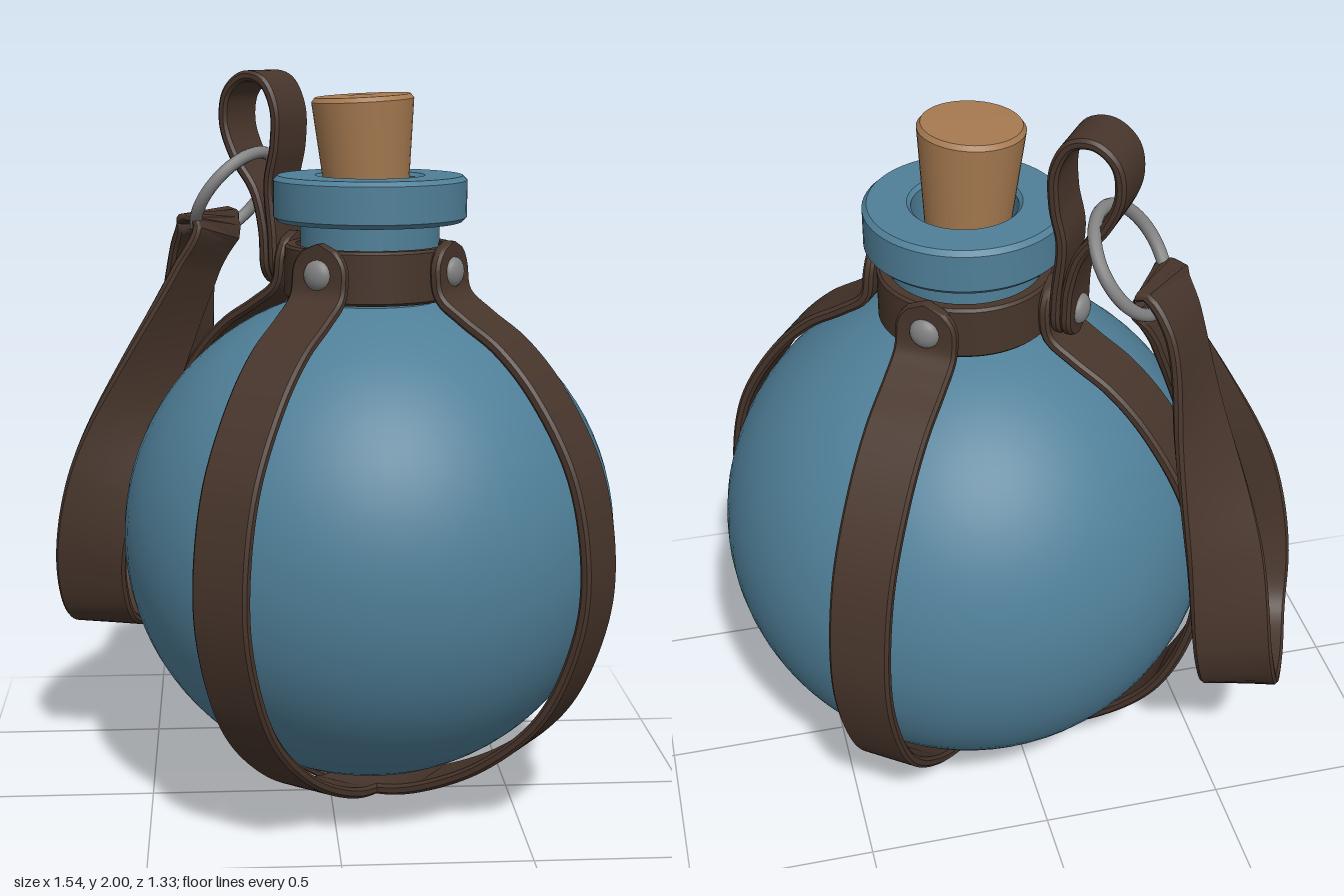
import * as THREE from 'three';
import { toCreasedNormals } from 'three/addons/utils/BufferGeometryUtils.js';

const material = (name, color) => {
  const m = new THREE.MeshStandardMaterial({ color });
  m.name = name;
  return m;
};

// Strap with chamfered edges along a curve; widthDir(p) gives the direction of its breadth
function ribbon(points, width, thick, widthDir, { closed = false, roundStart = false, roundEnd = false, steps = 120 } = {}) {
  const curve = new THREE.CatmullRomCurve3(points, closed, 'centripetal');
  const length = curve.getLength(), c = 0.008;
  const pos = [], idx = [];
  const taper = d => (d < width / 2 ? Math.max(0.05, Math.sqrt(1 - (1 - d / (width / 2)) ** 2)) : 1);
  for (let i = 0; i <= steps; i++) {
    const u = i / steps, p = curve.getPointAt(u), t = curve.getTangentAt(u);
    const w = widthDir(p);
    w.addScaledVector(t, -w.dot(t)).normalize();
    const n = new THREE.Vector3().crossVectors(t, w);
    let k = 1;
    if (roundStart) k *= taper(u * length);
    if (roundEnd) k *= taper((1 - u) * length);
    const a = width / 2 * k, b = thick / 2, e = Math.min(c, a * 0.5);
    const section = [[a, b - e], [a - e, b], [e - a, b], [-a, b - e], [-a, e - b], [e - a, -b], [a - e, -b], [a, e - b]];
    for (const [x, y] of section) pos.push(...p.clone().addScaledVector(w, x).addScaledVector(n, y).toArray());
  }
  for (let i = 0; i < steps; i++) for (let j = 0; j < 8; j++) {
    const q = i * 8 + j, r = i * 8 + (j + 1) % 8;
    idx.push(q, r, r + 8, q, r + 8, q + 8);
  }
  if (!closed) for (let j = 1; j < 7; j++) {
    const s = steps * 8;
    idx.push(0, j + 1, j, s, s + j, s + j + 1);
  }
  const g = new THREE.BufferGeometry();
  g.setAttribute('position', new THREE.Float32BufferAttribute(pos, 3));
  g.setIndex(idx);
  return toCreasedNormals(g, 0.6);
}

const lathe = (profile, segments = 64) =>
  toCreasedNormals(new THREE.LatheGeometry(profile.map(([r, y]) => new THREE.Vector2(r, y)), segments), 0.7);

export function createModel() {
  const glass = material('blue glaze', 0x4f7f98);
  const leather = material('brown leather', 0x47352b);
  const corkMat = material('cork', 0xa67a50);
  const metal = material('grey metal', 0x828282);

  const model = new THREE.Group();
  model.name = 'strappedFlask';
  const flask = new THREE.Group();
  flask.name = 'flask';
  flask.position.x = 0.105;
  model.add(flask);
  const add = (parent, name, geometry, mat) => {
    const m = new THREE.Mesh(geometry, mat);
    m.name = name;
    parent.add(m);
    return m;
  };

  // Round body, neck, lip and mouth in one turned profile
  const profile = [];
  const endAngle = Math.PI - Math.asin(0.185 / 0.667);
  for (let i = 0; i <= 40; i++) {
    const a = endAngle * i / 40;
    profile.push([0.667 * Math.sin(a), 0.76 - 0.667 * Math.cos(a)]);
  }
  profile.push([0.185, 1.61], [0.245, 1.61], [0.257, 1.622], [0.257, 1.718], [0.245, 1.73],
    [0.145, 1.73], [0.135, 1.72], [0.135, 1.55], [0, 1.55]);
  add(flask, 'bottle', lathe(profile), glass);

  // Slightly tilted stopper
  const cork = add(flask, 'cork', lathe([[0, -0.19], [0.098, -0.19], [0.135, 0.175], [0.126, 0.187], [0, 0.189]], 40), corkMat);
  cork.position.set(-0.012, 1.75, 0.006);
  cork.rotation.set(0.01, 0, 0.05);

  // Neck collar
  add(flask, 'collar', lathe([[0.197, 1.41], [0.22, 1.41], [0.227, 1.417], [0.227, 1.543], [0.22, 1.55], [0.197, 1.55], [0.197, 1.41]]), leather);

  // Four harness straps, each riveted to the collar and meeting underneath
  const flat = pts => pts.map(([x, y]) => new THREE.Vector3(x, y, 0));
  const across = () => new THREE.Vector3(0, 0, 1);
  const harness = ribbon(flat([[0.242, 1.57], [0.242, 1.5], [0.255, 1.43], [0.325, 1.375], [0.425, 1.31], [0.53, 1.2],
    [0.645, 1], [0.69, 0.76], [0.672, 0.58], [0.575, 0.35], [0.4, 0.18], [0.2, 0.075], [0.08, 0.045], [-0.08, 0.045]]),
    0.165, 0.03, across, { roundStart: true });
  const rivet = new THREE.SphereGeometry(0.04, 20, 8, 0, Math.PI * 2, 0, Math.PI / 2).scale(1, 0.6, 1);
  const sides = [];
  for (let k = 0; k < 4; k++) {
    const side = new THREE.Group();
    side.name = 'harnessSide' + (k + 1);
    side.rotation.y = THREE.MathUtils.degToRad(-36 + 90 * k);
    flask.add(side);
    sides.push(side);
    add(side, 'harnessStrap', harness, leather);
    const r = add(side, 'rivet', rivet, metal);
    r.rotation.z = -Math.PI / 2;
    r.position.set(k === 2 ? 0.312 : 0.255, 1.49, 0);
  }
  const base = add(flask, 'baseRivet', rivet, metal);
  base.rotation.x = Math.PI;
  base.position.y = 0.025;

  // Hanging tab: a teardrop loop on the back strap, holding the ring
  const back = sides[2];
  add(back, 'hangingTab', ribbon(flat([[0.268, 1.42], [0.27, 1.55], [0.282, 1.7], [0.262, 1.8], [0.262, 1.9], [0.3, 1.97],
    [0.36, 1.982], [0.415, 1.94], [0.428, 1.86], [0.395, 1.77], [0.33, 1.68], [0.302, 1.58], [0.297, 1.5], [0.297, 1.42]]),
    0.15, 0.028, across, { roundStart: true, roundEnd: true }), leather);
  const ring = add(back, 'ring', new THREE.TorusGeometry(0.143, 0.017, 12, 48).rotateY(Math.PI / 2), metal);
  ring.position.set(0.44, 1.66, 0);
  ring.rotation.z = 0.62;

  // Carrying strap: closed loop through the ring, twisting as it hangs
  const path = [[-0.325, 1.595, -0.28], [-0.36, 1.53, -0.335], [-0.4, 1.25, -0.42], [-0.45, 0.9, -0.54], [-0.48, 0.6, -0.58],
    [-0.53, 0.45, -0.52], [-0.6, 0.41, -0.38], [-0.65, 0.46, -0.25], [-0.67, 0.62, -0.19], [-0.63, 0.85, -0.17],
    [-0.5, 1.15, -0.2], [-0.36, 1.45, -0.235], [-0.305, 1.565, -0.25]].map(p => new THREE.Vector3(...p));
  const twist = p => {
    const a = THREE.MathUtils.lerp(0.27, -0.96, THREE.MathUtils.smoothstep(p.y, 0.6, 1.55));
    return new THREE.Vector3(Math.cos(a), 0, Math.sin(a));
  };
  add(model, 'carryingStrap', ribbon(path, 0.205, 0.028, twist, { closed: true, steps: 160 }), leather);

  return model;
}
